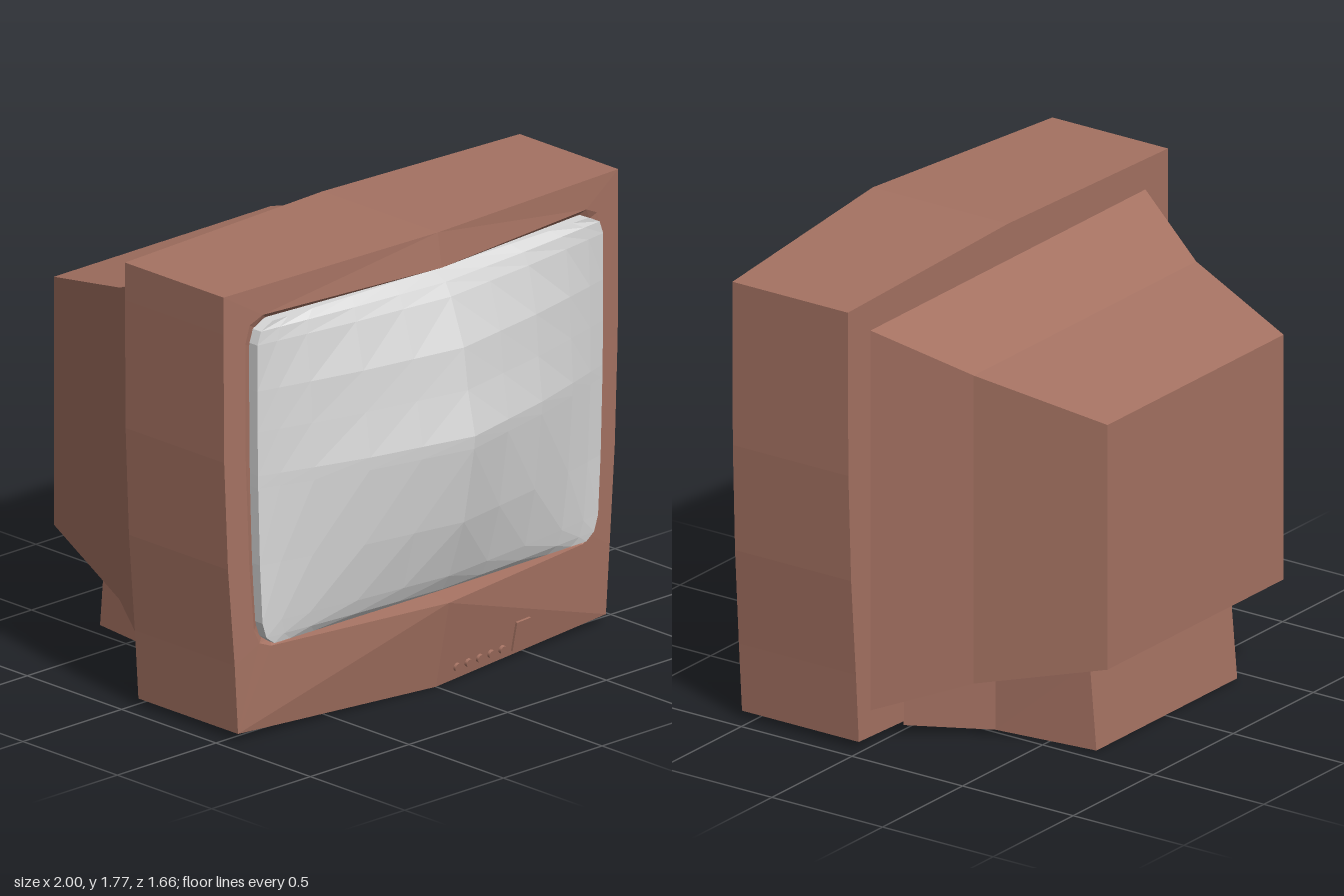
import * as THREE from 'three';

const plastic = new THREE.MeshStandardMaterial({ color: 0xa57262 });
plastic.name = 'brown plastic';
const glass = new THREE.MeshStandardMaterial({ color: 0xd8d8d8 });
glass.name = 'grey glass';

// Flat-shaded mesh from quads of the +x half, mirrored across x = 0
function mirroredMesh(name, quads, material) {
  const pos = [];
  const add = ([a, b, c, d]) => pos.push(...a, ...b, ...c, ...a, ...c, ...d);
  const flip = ([x, y, z]) => [-x, y, z];
  for (const q of quads) {
    add(q);
    add([q[0], q[3], q[2], q[1]].map(flip));
  }
  const geo = new THREE.BufferGeometry();
  geo.setAttribute('position', new THREE.Float32BufferAttribute(pos, 3));
  geo.computeVertexNormals();
  const mesh = new THREE.Mesh(geo, material);
  mesh.name = name;
  return mesh;
}

// Quads joining two open loops of equal length
function bridge(a, b) {
  const quads = [];
  for (let i = 0; i + 1 < a.length; i++) quads.push([a[i + 1], b[i + 1], b[i], a[i]]);
  return quads;
}

// Front of the cabinet: a ridge along x = 0, more pronounced at the chin
function faceZ(x, y) {
  const keys = [[0, 0.08], [0.345, 0.15], [1.64, 0.11], [1.77, 0.09]];
  let k = 0;
  while (k < 2 && y > keys[k + 1][0]) k++;
  const [y0, p0] = keys[k], [y1, p1] = keys[k + 1];
  return 0.54 + (p0 + (p1 - p0) * (y - y0) / (y1 - y0)) * (1 - Math.abs(x));
}

function makeCabinet() {
  const outline = [[0, 0], [0.932, 0.03], [0.932, 0.03], [0.95, 0.3], [0.98, 0.68],
    [0.997, 1.1], [1, 1.6], [1, 1.745], [1, 1.745], [0, 1.772]];
  const opening = [[0, 0.345], [0.79, 0.345], [0.84, 0.365], [0.865, 0.42], [0.885, 0.68],
    [0.9, 1.1], [0.9, 1.54], [0.88, 1.61], [0.82, 1.638], [0, 1.64]];
  const front = outline.map(([x, y]) => [x, y, faceZ(x, y)]);
  const back = outline.map(([x, y]) => [x, y, 0.018]);
  const rim = opening.map(([x, y]) => [x, y, faceZ(x, y)]);
  const recess = opening.map(([x, y]) => [x * 0.965, 1 + (y - 1) * 0.97, 0.545]);
  const middle = outline.map(() => [0, 0.9, 0.018]);
  return mirroredMesh('cabinet', [
    ...bridge(front, rim), ...bridge(rim, recess),
    ...bridge(back, front), ...bridge(middle, back),
  ], plastic);
}

// Boxy shell lofted through sections [zBottom, zTop, halfWidth, yBottom, yTop], front to back
function makeLoft(name, sections) {
  const loops = sections.map(([z0, z1, x, y0, y1]) =>
    [[0, y0, z0], [x, y0, z0], [x, y1, z1], [0, y1, z1]]);
  const quads = [];
  for (let i = 0; i + 1 < loops.length; i++) quads.push(...bridge(loops[i + 1], loops[i]));
  const end = loops[loops.length - 1];
  quads.push([end[0], end[3], end[2], end[1]]);
  return mirroredMesh(name, quads, plastic);
}

function makeScreen() {
  // rows: height, half width, bulge; columns: share of half width, bulge
  const rows = [[0.36, 0.79, 0.04], [0.39, 0.83, 0.27], [0.45, 0.85, 0.42], [0.68, 0.863, 0.75],
    [0.98, 0.872, 0.98], [1.03, 0.873, 1], [1.2, 0.875, 0.84], [1.36, 0.876, 0.75],
    [1.54, 0.876, 0.46], [1.59, 0.858, 0.34], [1.618, 0.8, 0.04]];
  const cols = [[0, 1], [0.25, 0.79], [0.5, 0.58], [0.75, 0.3], [0.9, 0.12], [1, 0]];
  const grid = rows.map(([y, w, b]) => cols.map(([u, a]) => [u * w, y, 0.59 + 0.238 * a * b]));
  const quads = [];
  for (let i = 0; i + 1 < grid.length; i++) quads.push(...bridge(grid[i], grid[i + 1]));
  // skirt going back into the cabinet
  const edge = [...grid[0], ...grid.slice(1, -1).map(r => r[5]), ...[...grid[10]].reverse()];
  quads.push(...bridge(edge.map(([x, y]) => [x, y, 0.53]), edge));
  return mirroredMesh('screen', quads, glass);
}

// Controls lie on the slanted chin
function placeOnChin(mesh, x, y) {
  mesh.position.set(x, y, 0.62 - 0.08 * x + 0.203 * y);
  mesh.quaternion.setFromUnitVectors(new THREE.Vector3(0, 0, 1),
    new THREE.Vector3(0.08, -0.203, 1).normalize());
  return mesh;
}

export function createModel() {
  const model = new THREE.Group();
  model.name = 'television';
  model.add(makeCabinet(), makeScreen());
  model.add(makeLoft('rearHousing', [
    [0.02, 0.02, 0.86, 0.13, 1.63],
    [-0.33, -0.33, 0.695, 0.265, 1.48],
    [-0.83, -0.83, 0.55, 0.39, 1.355],
  ]));
  model.add(makeLoft('rearBase', [
    [0.02, 0.02, 0.65, 0.005, 0.345],
    [-0.28, -0.28, 0.49, 0.005, 0.345],
    [-0.7, -0.67, 0.44, 0.005, 0.345],
  ]));

  // Row of round buttons and a small control door
  const buttonGeo = new THREE.CylinderGeometry(0.016, 0.016, 0.02, 12).rotateX(Math.PI / 2);
  for (let i = 0; i < 5; i++) {
    const button = new THREE.Mesh(buttonGeo, plastic);
    button.name = 'button' + (i + 1);
    model.add(placeOnChin(button, 0.1 + 0.0625 * i, 0.055));
  }
  const door = new THREE.Mesh(new THREE.BoxGeometry(0.075, 0.12, 0.012), plastic);
  door.name = 'controlDoor';
  model.add(placeOnChin(door, 0.445, 0.09));
  return model;
}
